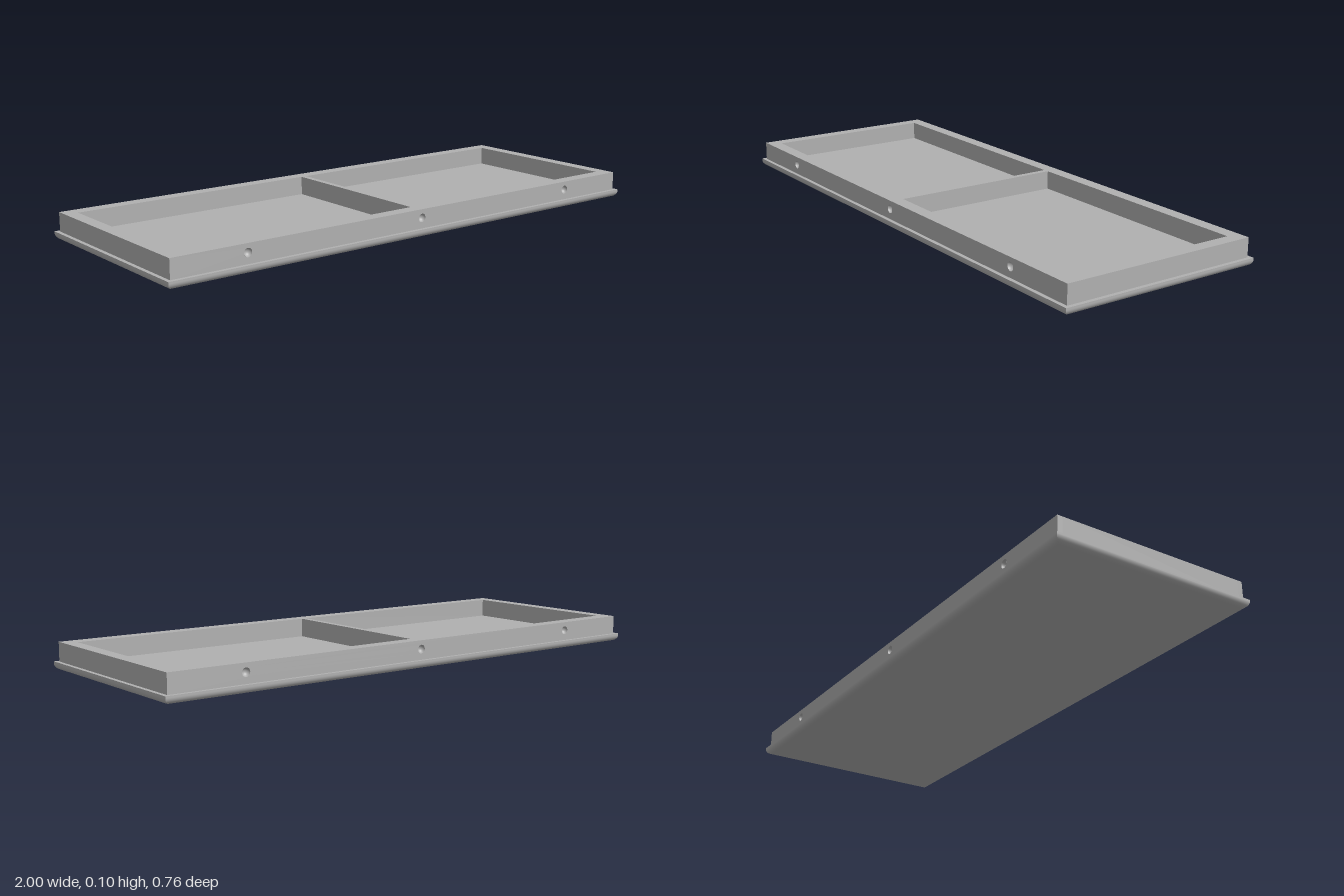
import * as THREE from 'three';

const HX = 1, HZ = 0.379, LIP = 0.028, R = 0.022; // base plate half sizes, height, edge radius
const BX = 0.986, BZ = 0.365, TOP = 0.0955;       // raised frame
const SKIN = 0.018, HOLE = 0.015;                 // drilled face thickness, dimple radius

function rect(Type, x0, y0, x1, y1) {
  const s = new Type();
  s.moveTo(x0, y0);
  s.lineTo(x1, y0);
  s.lineTo(x1, y1);
  s.lineTo(x0, y1);
  s.closePath();
  return s;
}

// One mitred side of the base plate, with a rounded lower edge, facing +z
function edgeStrip(halfLength, distance) {
  const pos = [], nor = [], idx = [], steps = 10;
  for (let i = -1; i <= steps; i++) {
    const a = Math.max(i, 0) / steps * Math.PI / 2;
    const inset = R * (1 - Math.cos(a));
    const y = i < 0 ? LIP : R * (1 - Math.sin(a));
    for (const s of [-1, 1]) {
      pos.push(s * (halfLength - inset), y, distance - inset);
      nor.push(0, -Math.sin(a), Math.cos(a));
    }
    if (i >= 0) {
      const b = 2 * i;
      idx.push(b, b + 2, b + 1, b + 1, b + 2, b + 3);
    }
  }
  const g = new THREE.BufferGeometry();
  g.setAttribute('position', new THREE.Float32BufferAttribute(pos, 3));
  g.setAttribute('normal', new THREE.Float32BufferAttribute(nor, 3));
  g.setIndex(idx);
  return g;
}

export function createModel() {
  const grey = new THREE.MeshStandardMaterial({ color: 0xb0b0b0, side: THREE.DoubleSide });
  grey.name = 'grey';
  const model = new THREE.Group();
  model.name = 'twoPocketTray';
  const add = (parent, geometry, name) => {
    const mesh = new THREE.Mesh(geometry, grey);
    mesh.name = name;
    parent.add(mesh);
    return mesh;
  };

  // Base plate: floor, underside and four rounded edges
  const base = new THREE.Group();
  base.name = 'basePlate';
  model.add(base);
  add(base, new THREE.PlaneGeometry(2 * HX, 2 * HZ).rotateX(-Math.PI / 2).translate(0, LIP, 0), 'floor');
  add(base, new THREE.PlaneGeometry(2 * (HX - R), 2 * (HZ - R)).rotateX(Math.PI / 2), 'underside');
  for (let i = 0; i < 4; i++) {
    const g = i % 2 ? edgeStrip(HZ, HX) : edgeStrip(HX, HZ);
    add(base, g.rotateY(i * Math.PI / 2), 'roundedEdge');
  }

  // Raised frame with two pockets and the divider between them
  const outline = rect(THREE.Shape, -BX, -(BZ - SKIN), BX, BZ - SKIN);
  outline.holes.push(rect(THREE.Path, -0.94, -0.317, -0.0105, 0.317));
  outline.holes.push(rect(THREE.Path, 0.0105, -0.317, 0.94, 0.317));
  const frame = new THREE.ExtrudeGeometry(outline, { depth: TOP - LIP, bevelEnabled: false });
  add(model, frame.rotateX(-Math.PI / 2).translate(0, LIP, 0), 'pocketFrame');

  // Front and back faces, each with three round dimples
  for (const [name, turn] of [['frontFace', 0], ['backFace', Math.PI]]) {
    const side = new THREE.Group();
    side.name = name;
    side.rotation.y = turn;
    model.add(side);
    const face = rect(THREE.Shape, -BX, LIP, BX, TOP);
    for (const x of [-0.71, 0, 0.71]) {
      face.holes.push(new THREE.Path().absarc(x, 0.065, HOLE, 0, Math.PI * 2, true));
      const dimple = new THREE.SphereGeometry(HOLE, 24, 8, 0, Math.PI * 2, 0, Math.PI / 2);
      add(side, dimple.rotateX(-Math.PI / 2).translate(x, 0.065, BZ), 'dimple');
    }
    const plate = new THREE.ExtrudeGeometry(face, { depth: SKIN, bevelEnabled: false, curveSegments: 24 });
    add(side, plate.translate(0, 0, BZ - SKIN), 'drilledWall');
  }
  return model;
}
